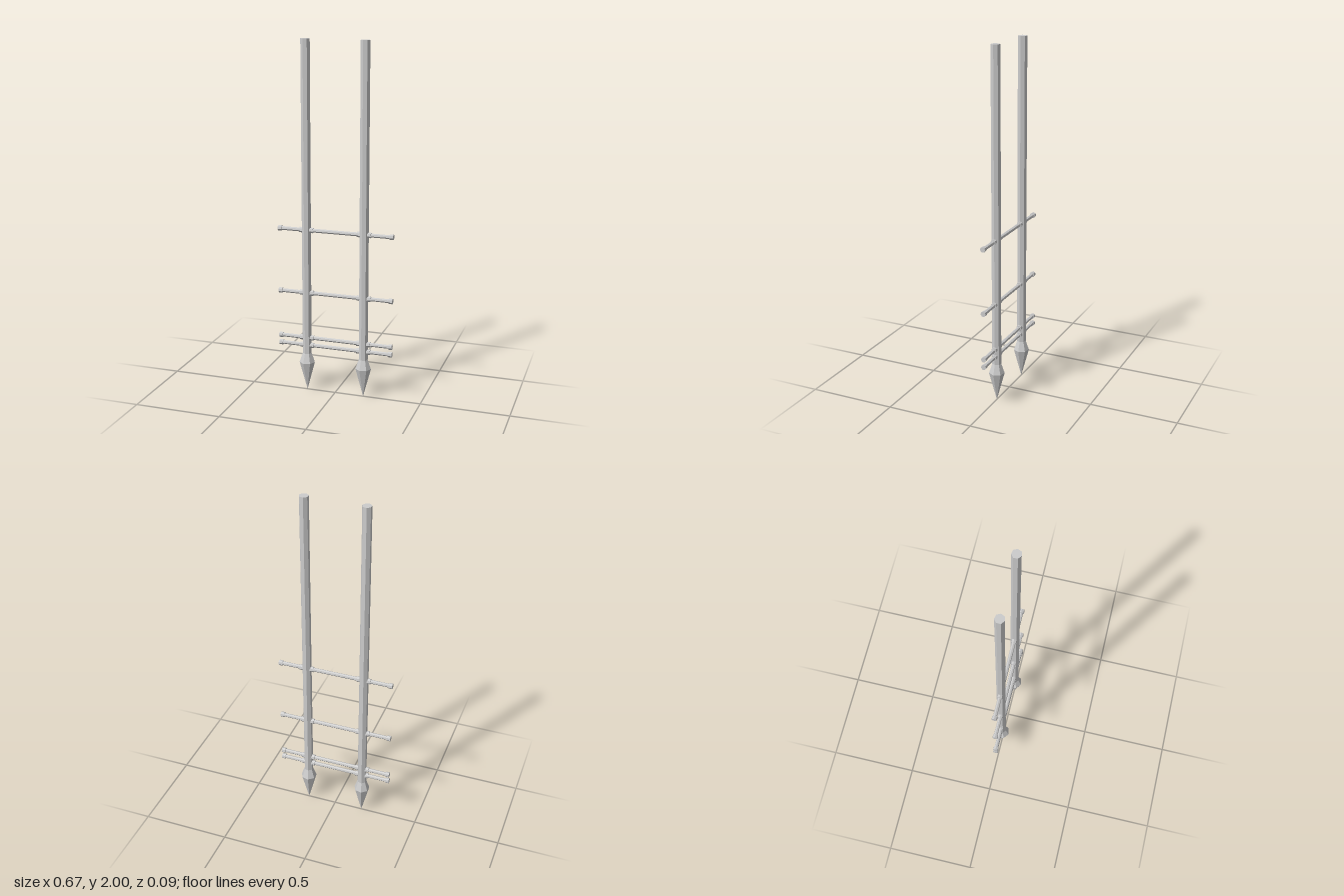
import * as THREE from 'three';

const SIDES = 7;
const POST_X = 0.167;

export function createModel() {
  const group = new THREE.Group();
  const metal = new THREE.MeshStandardMaterial({ color: 0xcccccc, flatShading: true });

  function add(name, geometry, x, y) {
    const mesh = new THREE.Mesh(geometry, metal);
    mesh.name = name;
    mesh.position.set(x, y, 0);
    group.add(mesh);
  }

  // Seven-sided bar lying along x, with a corner pointing up
  const bar = (radius, length) =>
    new THREE.CylinderGeometry(radius, radius, length, SIDES, 1, false, Math.PI / 2).rotateZ(Math.PI / 2);

  // Post with a spear-like point at the bottom and a flat top
  const profile = [[0, 0], [0.045, 0.17], [0.026, 0.225], [0.026, 2], [0, 2]]
    .map(([r, y]) => new THREE.Vector2(r, y));
  const post = new THREE.LatheGeometry(profile, SIDES, Math.PI / 2);

  // Crossbar parts
  const rod = bar(0.011, 0.65);
  const endCap = bar(0.0155, 0.021);
  const collar = bar(0.0155, 0.08);

  const sides = [['left', 1], ['right', -1]];
  for (const [side, s] of sides) add(side + 'Post', post, s * POST_X, 0);

  // Crossbars, collared where they pass through the posts
  [0.272, 0.317, 0.585, 0.95].forEach((y, i) => {
    add('crossbar' + (i + 1), rod, 0, y);
    for (const [side, s] of sides) {
      add(side + 'Collar' + (i + 1), collar, s * POST_X, y);
      add(side + 'EndCap' + (i + 1), endCap, s * 0.3225, y);
    }
  });

  return group;
}
